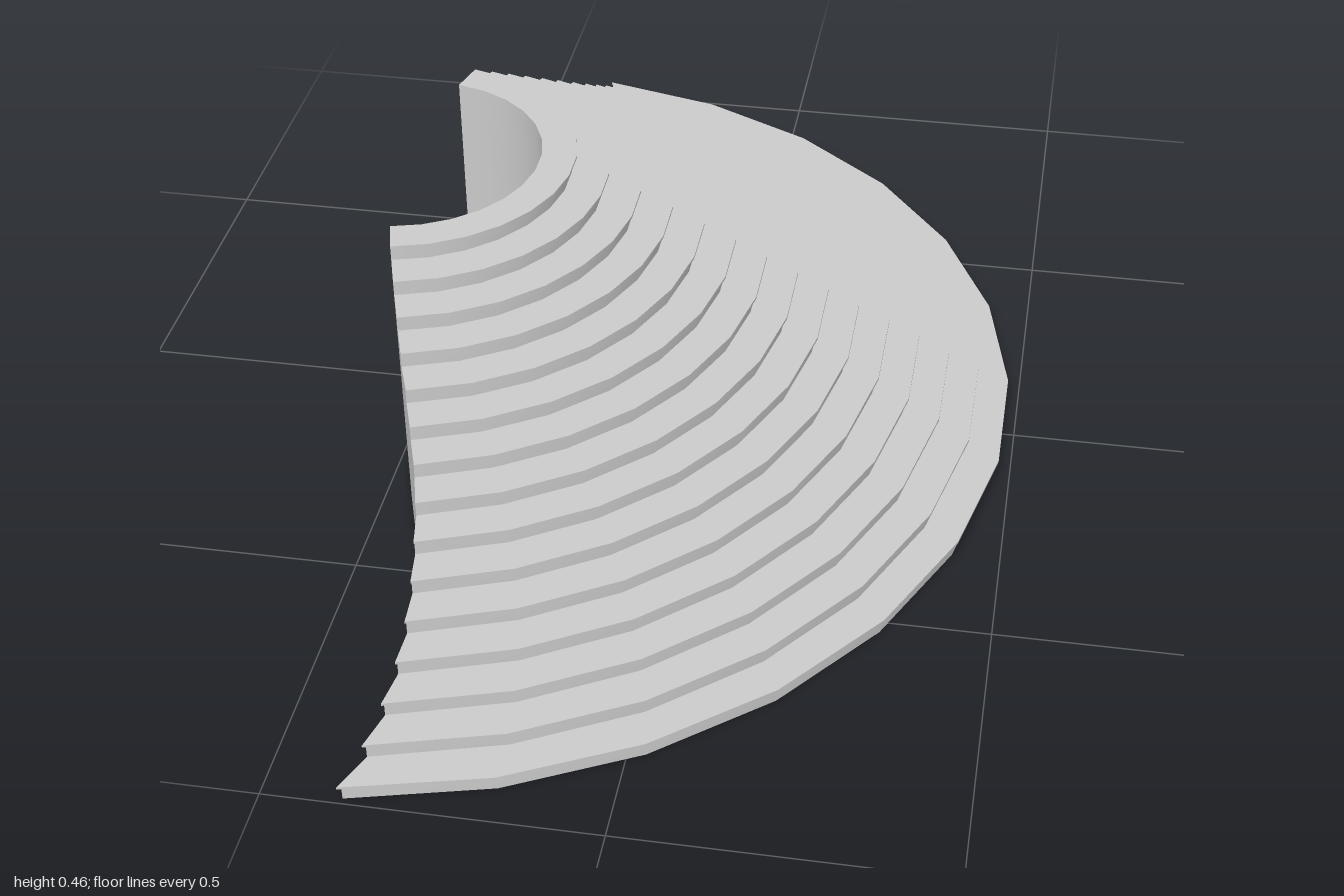
import * as THREE from 'three';
import { toCreasedNormals } from 'three/addons/utils/BufferGeometryUtils.js';

const STEPS = 15, SEGMENTS = 13;
const CENTRE_X = -0.522, INNER = 0.225, OUTER = 1.009;
const GOING = 0.0519, RISE = 0.46 / STEPS;
const NOSING = 0.009, BOARD = 0.004;

// Distance of the curved flank from the centre line, from the inner wall outwards
const FLANK = [0.036, 0.051, 0.067, 0.084, 0.101, 0.12, 0.137, 0.154,
  0.167, 0.176, 0.183, 0.186, 0.184, 0.176, 0.161, 0.137];

function halfAngle(r) {
  const t = THREE.MathUtils.clamp((r - OUTER) / GOING + STEPS, 0, STEPS);
  const i = Math.min(Math.floor(t), STEPS - 1);
  return Math.acos(THREE.MathUtils.lerp(FLANK[i], FLANK[i + 1], t - i) / r);
}

// u runs from -1 (back flank) to 1 (front flank)
function point([r, y], u) {
  const a = u * halfAngle(r);
  return [CENTRE_X + r * Math.cos(a), y, r * Math.sin(a)];
}

function addQuad(out, a, b, c, d) {
  out.push(...a, ...b, ...c, ...a, ...c, ...d);
}

// Sweep a profile edge round the arc; outside lies left of the edge
function addSweep(out, p, q) {
  for (let i = 0; i < SEGMENTS; i++) {
    const u0 = (2 * i) / SEGMENTS - 1, u1 = (2 * (i + 1)) / SEGMENTS - 1;
    addQuad(out, point(p, u0), point(p, u1), point(q, u1), point(q, u0));
  }
}

// Upright strip on both flanks
function addFlanks(out, r0, r1, y0, y1) {
  const corners = [[r0, y0], [r1, y0], [r1, y1], [r0, y1]];
  addQuad(out, ...corners.map((c) => point(c, 1)));
  addQuad(out, ...corners.reverse().map((c) => point(c, -1)));
}

export function createModel() {
  const group = new THREE.Group();
  const material = new THREE.MeshStandardMaterial({ color: 0xcccccc });
  const parts = { treads: [], risers: [], flankWalls: [], underside: [], innerWall: [] };

  for (let i = 0; i < STEPS; i++) {
    const edge = OUTER - GOING * i;
    const face = edge - NOSING;
    const back = i === STEPS - 1 ? INNER : face - GOING;
    const top = RISE * (i + 1), lip = top - BOARD;

    // Tread with its thin overhanging nosing
    addSweep(parts.treads, [back, top], [face, top]);
    addSweep(parts.treads, [face, top], [edge, top]);
    addSweep(parts.treads, [edge, top], [edge, lip]);
    addSweep(parts.treads, [edge, lip], [face, lip]);
    addFlanks(parts.treads, face, edge, lip, top);

    // Riser below the nosing, down to the next tread
    addSweep(parts.risers, [face, lip], [face, RISE * i]);

    // Flank strip and floor under this step
    addFlanks(parts.flankWalls, back, face, 0, top);
    addSweep(parts.underside, [face, 0], [back, 0]);
  }

  // Curved wall round the inner well
  addSweep(parts.innerWall, [INNER, 0], [INNER, RISE * STEPS]);

  for (const [name, positions] of Object.entries(parts)) {
    const geometry = new THREE.BufferGeometry();
    geometry.setAttribute('position', new THREE.Float32BufferAttribute(positions, 3));
    const mesh = new THREE.Mesh(toCreasedNormals(geometry, 0.6), material);
    mesh.name = name;
    group.add(mesh);
  }
  group.name = 'curvedStaircase';
  return group;
}
